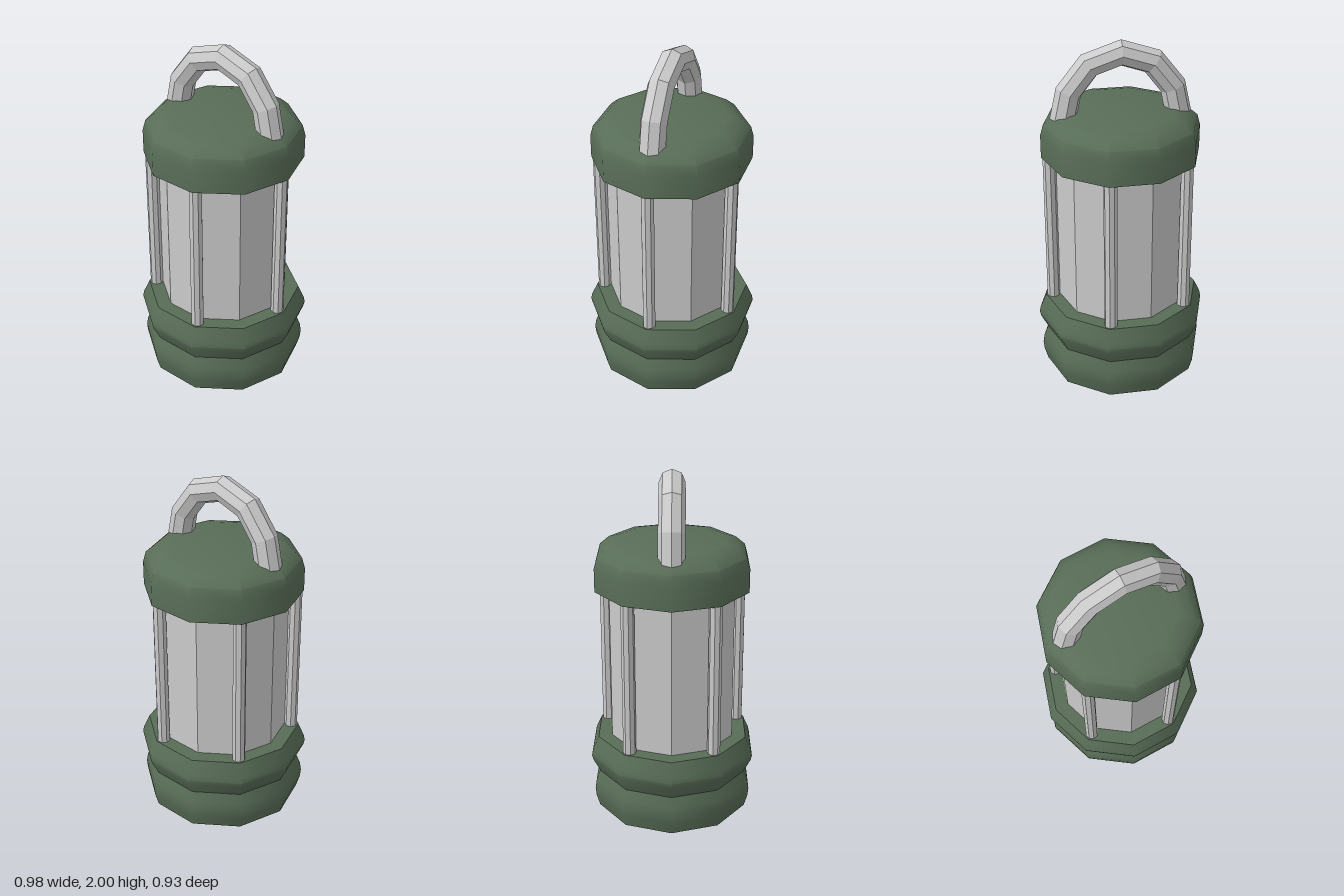
import * as THREE from 'three';
import { toCreasedNormals } from 'three/addons/utils/BufferGeometryUtils.js';

const SIDES = 10;
const green = new THREE.MeshStandardMaterial({ color: 0x586d57 });
const grey = new THREE.MeshStandardMaterial({ color: 0xcccccc, flatShading: true });

function add(group, name, geometry, material) {
  const mesh = new THREE.Mesh(geometry, material);
  mesh.name = name;
  group.add(mesh);
  return mesh;
}

// Ten-sided turned body with one corner on the +x axis; profile runs upwards
function turned(profile) {
  const points = profile.map(([r, y]) => new THREE.Vector2(r, y));
  return toCreasedNormals(new THREE.LatheGeometry(points, SIDES, Math.PI / 2), 0.7);
}

export function createModel() {
  const lantern = new THREE.Group();
  lantern.name = 'lantern';

  // Base of two stacked bulges
  add(lantern, 'base', turned([
    [0, 0], [0.45, 0], [0.47, 0.07], [0.475, 0.12], [0.467, 0.17], [0.443, 0.23],
    [0.483, 0.31], [0.49, 0.34], [0.483, 0.375], [0.447, 0.455], [0, 0.455],
  ]), green);

  // Rounded cap
  add(lantern, 'cap', turned([
    [0, 1.345], [0.447, 1.345], [0.447, 1.48], [0.43, 1.54],
    [0.375, 1.588], [0.31, 1.605], [0, 1.605],
  ]), green);

  // Lamp glass
  const glass = new THREE.CylinderGeometry(0.365, 0.365, 0.95, SIDES, 1, true, Math.PI / 2);
  add(lantern, 'glass', glass, grey).position.y = 0.9;

  // Five upright guard rods
  const rodGeometry = new THREE.CylinderGeometry(0.037, 0.037, 0.95, 8);
  for (let i = 0; i < 5; i++) {
    const a = (i / 5) * Math.PI * 2;
    const rod = add(lantern, 'guardRod', rodGeometry, grey);
    rod.position.set(0.402 * Math.cos(a), 0.9, 0.402 * Math.sin(a));
    rod.rotation.y = -a;
  }

  // Carrying handle, its ends sunk into the cap
  const half = [[0.325, 1.54], [0.285, 1.725], [0.17, 1.87]];
  const path = [
    ...half.map(([x, y]) => new THREE.Vector3(-x, y, 0)),
    new THREE.Vector3(0, 1.926, 0),
    ...half.map(([x, y]) => new THREE.Vector3(x, y, 0)).reverse(),
  ];
  add(lantern, 'handle', new THREE.TubeGeometry(new THREE.CatmullRomCurve3(path), 6, 0.073, 8), grey);

  return lantern;
}
